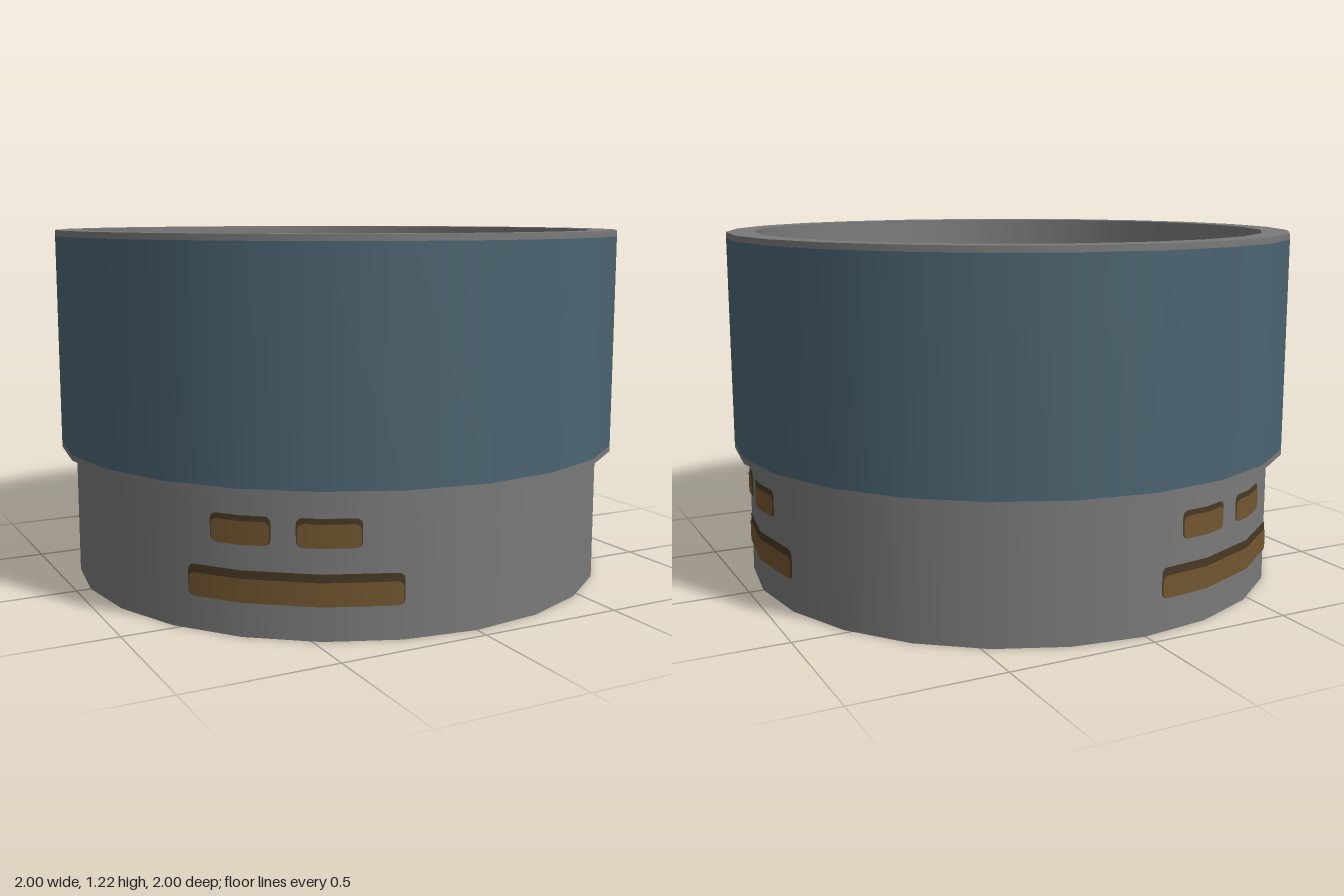
import * as THREE from 'three';

const SIDES = 24;
const BASE_R = 0.95;
const STEP = (Math.PI * 2) / SIDES;
const rad = THREE.MathUtils.degToRad;

const material = (name, color, side = THREE.FrontSide) => {
  const m = new THREE.MeshStandardMaterial({ color, side });
  m.name = name;
  return m;
};

// Radius of the faceted base wall at a given angle
function wallRadius(a) {
  const local = a - Math.floor(a / STEP) * STEP - STEP / 2;
  return (BASE_R * Math.cos(STEP / 2)) / Math.cos(local);
}

// Thin rounded plate that follows the base wall between two angles and two heights
function curvedPlate(a0, a1, y0, y1, corner, lift) {
  const angles = [];
  const ca = corner / BASE_R;
  for (let i = 0; i <= 4; i++) {
    const t = ca * (1 - Math.cos((i / 4) * Math.PI / 2));
    angles.push(a0 + t, a1 - t);
  }
  for (let k = Math.ceil(a0 / STEP); k * STEP < a1; k++) angles.push(k * STEP);
  angles.sort((p, q) => p - q);

  const pos = [], norm = [], index = [];
  angles.forEach((a, i) => {
    const edge = Math.min(a - a0, a1 - a, ca) / ca;
    const inset = corner * (1 - Math.sqrt(Math.max(0, 1 - (1 - edge) ** 2)));
    const r = wallRadius(a) + lift;
    for (const y of [y0 + inset, y1 - inset]) {
      pos.push(Math.sin(a) * r, y, Math.cos(a) * r);
      norm.push(Math.sin(a), 0, Math.cos(a));
    }
    if (i) {
      const p = 2 * (i - 1);
      index.push(p, p + 2, p + 1, p + 1, p + 2, p + 3);
    }
  });
  const g = new THREE.BufferGeometry();
  g.setAttribute('position', new THREE.Float32BufferAttribute(pos, 3));
  g.setAttribute('normal', new THREE.Float32BufferAttribute(norm, 3));
  g.setIndex(index);
  return g;
}

export function createModel() {
  const model = new THREE.Group();
  model.name = 'drum';
  const grey = material('grey metal', 0x7a7a7a);
  const blue = material('blue paint', 0x4b6471);
  const brown = material('brown slot', 0x725630);
  const dark = material('dark slot edge', 0x483a24);

  // Body profile from the underside centre to the top centre, one crisp band per step
  const profile = [
    [0, 0.06],
    [0.865, 0.06, 'undersidePanel'],
    [0.865, 0, 'undersideRecessWall'],
    [BASE_R, 0, 'footRing'],
    [BASE_R, 0.455, 'baseWall'],
    [1, 0.455, 'overhang'],
    [1, 0.475, 'lowerTrim'],
    [1, 1.2, 'blueBand', blue],
    [1, 1.22, 'upperTrim'],
    [0.905, 1.22, 'topRim'],
    [0.905, 1.115, 'topRecessWall'],
    [0, 1.115, 'topPanel'],
  ];
  for (let i = 1; i < profile.length; i++) {
    const [x0, y0] = profile[i - 1];
    const [x1, y1, name, mat = grey] = profile[i];
    const band = new THREE.LatheGeometry(
      [new THREE.Vector2(x0, y0), new THREE.Vector2(x1, y1)], SIDES);
    const mesh = new THREE.Mesh(band, mat);
    mesh.name = name;
    model.add(mesh);
  }

  // Slots: start angle, end angle, bottom, top, height of the dark upper edge
  const slots = [
    ['longSlot', -20.8, 20.8, 0.11, 0.211, 0.026],
    ['smallSlotA', -15.9, -3.9, 0.291, 0.382, 0.017],
    ['smallSlotB', 0.8, 13, 0.291, 0.382, 0.017],
  ];
  for (const centre of [84.5, 204.5, 324.5]) {
    const group = new THREE.Group();
    group.name = 'slotGroup';
    for (const [name, s, e, y0, y1, shade] of slots) {
      const a0 = rad(centre + s), a1 = rad(centre + e);
      const back = new THREE.Mesh(curvedPlate(a0, a1, y0, y1, 0.02, 0.003), dark);
      back.name = name + 'Edge';
      const face = new THREE.Mesh(
        curvedPlate(a0 + 0.004, a1 - 0.004, y0, y1 - shade, 0.02, 0.006), brown);
      face.name = name;
      group.add(back, face);
    }
    model.add(group);
  }
  return model;
}
